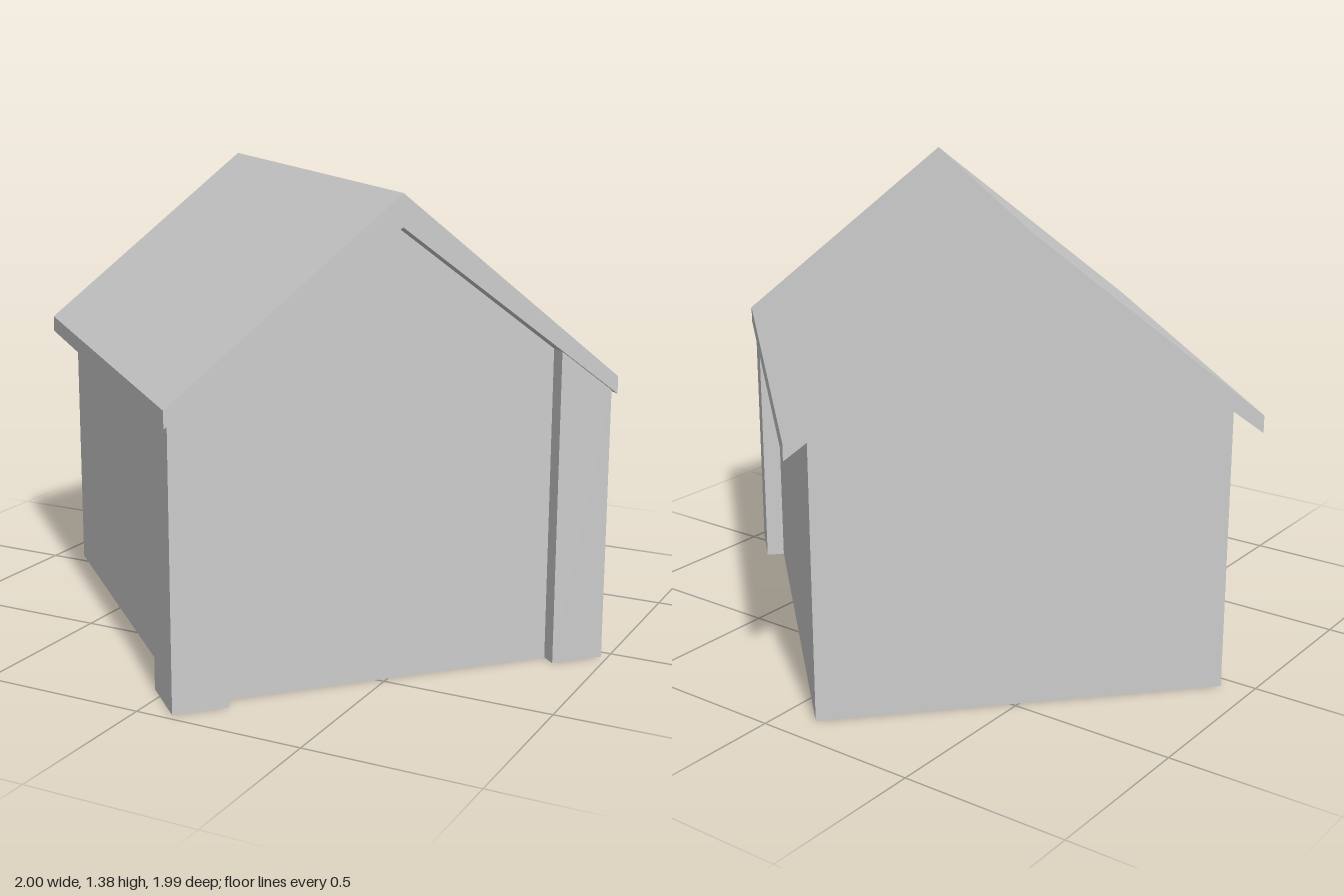
import * as THREE from 'three';

const material = new THREE.MeshStandardMaterial({ color: 0xcccccc });

// Roof section: half width, ridge and eave heights (top and underside)
const HALF_W = 0.658, RIDGE = 1.375, EAVE = 0.84, UNDER_RIDGE = 1.285, UNDER_EAVE = 0.79;
const ROOF_END = 0.753;

// Height of the roof underside at a distance from the ridge line
const soffit = (x) => THREE.MathUtils.lerp(UNDER_RIDGE, UNDER_EAVE, Math.abs(x) / HALF_W);

// Cross-section in x/y, extruded along the ridge from zBack to zFront
function prism(name, points, zBack, zFront) {
  const shape = new THREE.Shape(points.map(([x, y]) => new THREE.Vector2(x, y)));
  const geometry = new THREE.ExtrudeGeometry(shape, { depth: zFront - zBack, bevelEnabled: false });
  geometry.translate(0, 0, zBack);
  const mesh = new THREE.Mesh(geometry, material);
  mesh.name = name;
  return mesh;
}

export function createModel() {
  const model = new THREE.Group();
  model.name = 'house';

  // The house stands diagonally, with its ridge along the turned z axis
  const house = new THREE.Group();
  house.name = 'houseBody';
  house.rotation.y = 0.818;
  model.add(house);

  // Gabled walls reaching the underside of the roof
  const wallX = 0.59;
  house.add(prism('walls', [
    [-wallX, 0], [wallX, 0], [wallX, soffit(wallX)], [0, UNDER_RIDGE], [-wallX, soffit(wallX)],
  ], -0.695, 0.69));

  // Chevron roof slab with overhanging eaves
  house.add(prism('roof', [
    [-HALF_W, UNDER_EAVE], [0, UNDER_RIDGE], [HALF_W, UNDER_EAVE],
    [HALF_W, EAVE], [0, RIDGE], [-HALF_W, EAVE],
  ], -ROOF_END, ROOF_END));

  // Front corner posts, cut to the roof slope
  const inner = 0.487, outer = 0.646;
  for (const side of [-1, 1]) {
    house.add(prism(side > 0 ? 'leftPost' : 'rightPost', [
      [side * inner, 0], [side * outer, 0],
      [side * outer, soffit(outer)], [side * inner, soffit(inner)],
    ], 0.55, 0.74));
  }
  return model;
}
